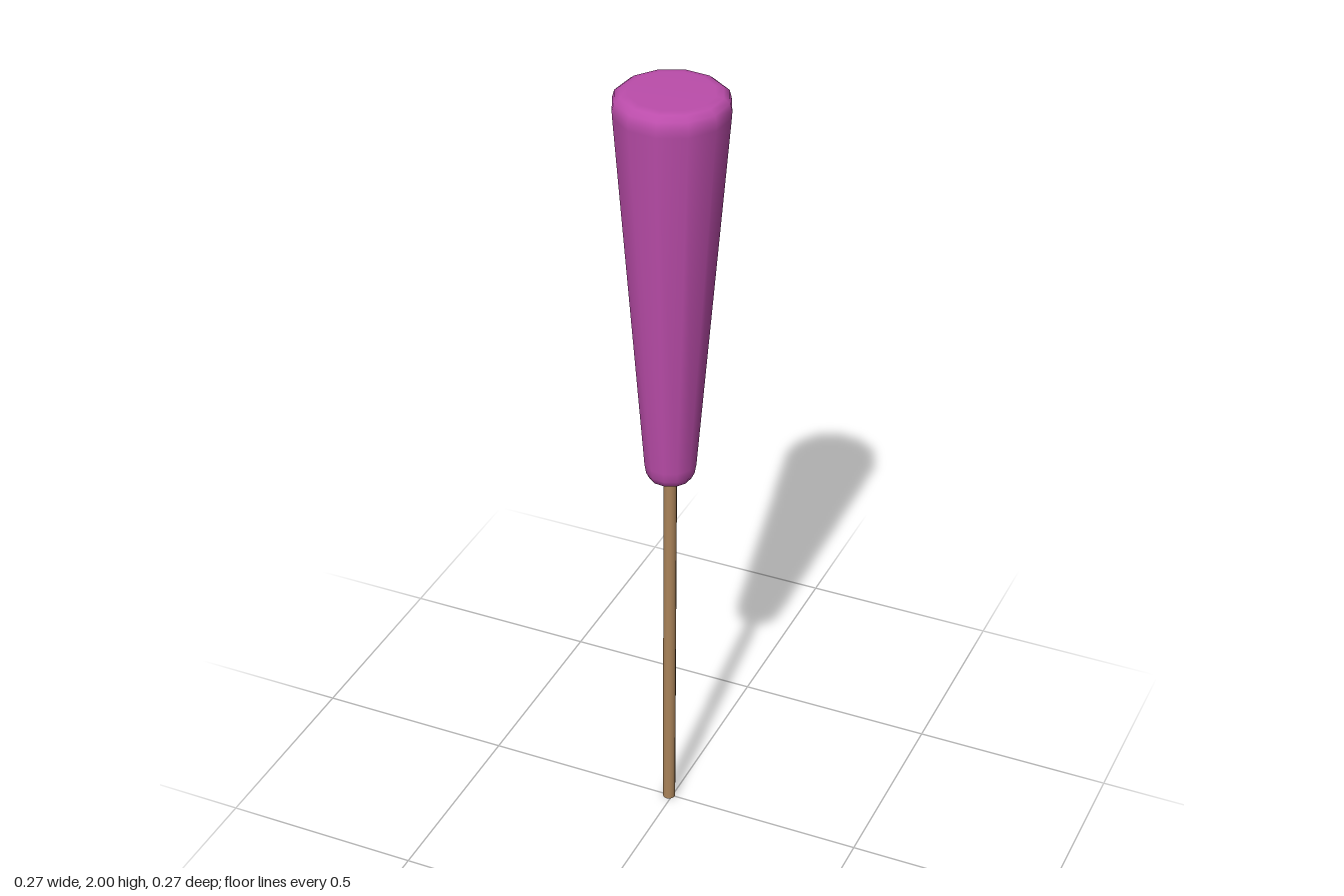
import * as THREE from 'three';

export function createModel() {
  const model = new THREE.Group();
  model.name = 'taperedHeadOnStick';

  const purple = new THREE.MeshStandardMaterial({ color: 0xbc4dab });
  purple.name = 'purple';
  const wood = new THREE.MeshStandardMaterial({ color: 0xab845a });
  wood.name = 'wood';

  // Twelve-sided tapered head with rounded rims
  const profile = [
    [0, 0.977], [0.035, 0.978], [0.052, 0.988], [0.06, 1.005], [0.064, 1.03],
    [0.136, 1.95], [0.137, 1.968], [0.132, 1.986], [0.118, 1.997], [0.1, 2.0], [0, 2.0],
  ].map(([r, y]) => new THREE.Vector2(r, y));
  const head = new THREE.Mesh(new THREE.LatheGeometry(profile, 12, 0.162), purple);
  head.name = 'head';

  // Thin round stick, running a little way into the head
  const stick = new THREE.Mesh(new THREE.CylinderGeometry(0.016, 0.016, 1.0, 12), wood);
  stick.name = 'stick';
  stick.position.y = 0.5;

  // Whole piece leans very slightly
  const piece = new THREE.Group();
  piece.name = 'leaningPiece';
  piece.add(head, stick);
  piece.position.x = -0.009;
  piece.rotation.z = -0.0042;
  model.add(piece);
  return model;
}
